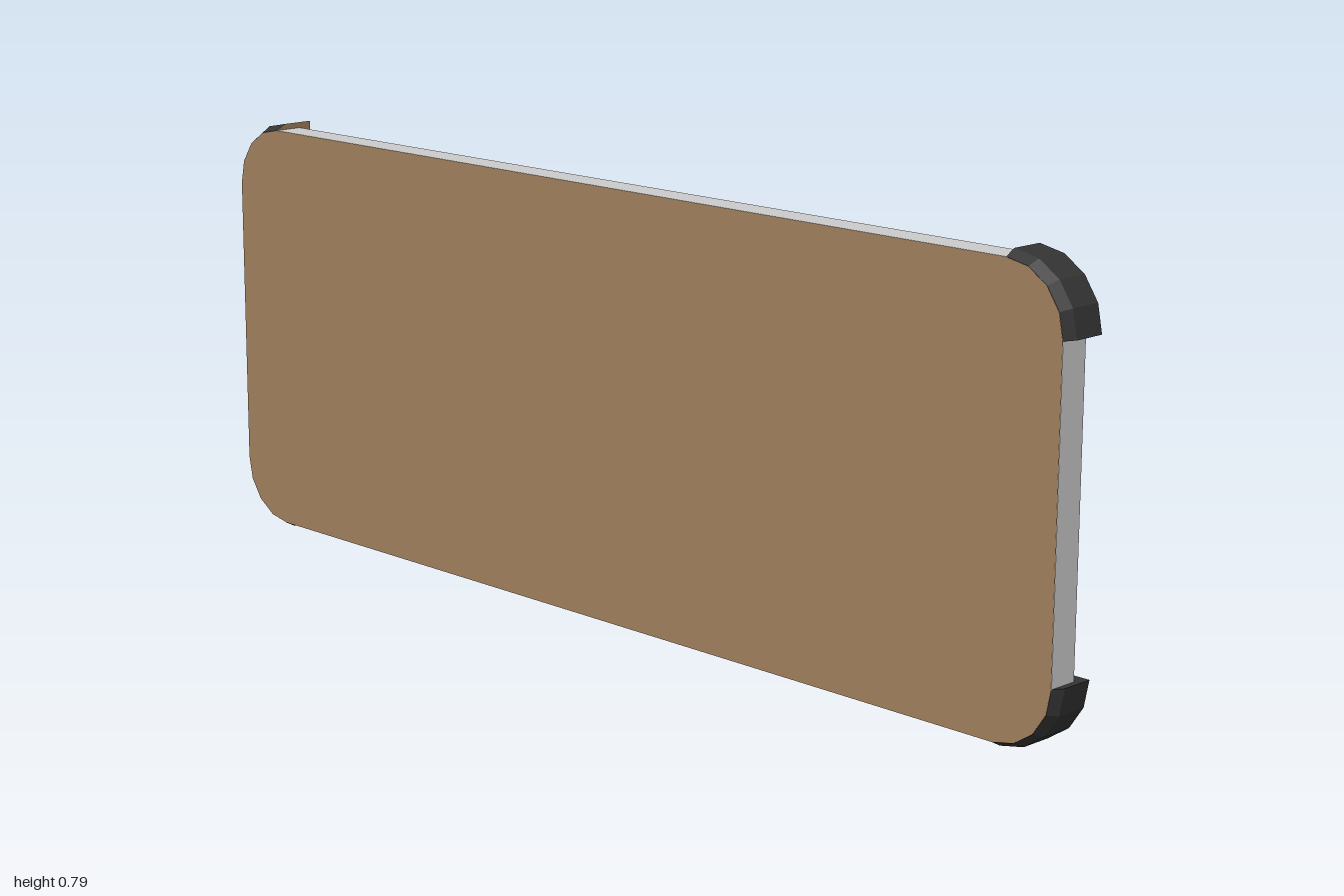
import * as THREE from 'three';

const HZ = 0.8775, HY = 0.27, MID = 0.3925; // corner-arc centres and mid height
const mat = (color) => new THREE.MeshStandardMaterial({ color, flatShading: true });

// Skin a list of equal-length rings; the start cap is group 0, the rest group 1.
function loft(rings) {
  const pos = [];
  const tri = (...pts) => pts.forEach((p) => pos.push(...p));
  const n = rings[0].length, first = rings[0], last = rings[rings.length - 1];
  for (let i = 1; i < n - 1; i++) tri(first[0], first[i + 1], first[i]);
  const capCount = pos.length / 3;
  for (let i = 1; i < n - 1; i++) tri(last[0], last[i], last[i + 1]);
  for (let s = 0; s < rings.length - 1; s++) {
    for (let i = 0; i < n; i++) {
      const j = (i + 1) % n;
      const a = rings[s][i], b = rings[s][j], c = rings[s + 1][j], d = rings[s + 1][i];
      tri(a, b, c);
      tri(a, c, d);
    }
  }
  const g = new THREE.BufferGeometry();
  g.setAttribute('position', new THREE.Float32BufferAttribute(pos, 3));
  g.addGroup(0, capCount, 0);
  g.addGroup(capCount, pos.length / 3 - capCount, 1);
  g.computeVertexNormals();
  return g;
}

// Straight bar on side k (0 = +z, 1 = top, 2 = -z, 3 = bottom); profile is [outward offset, x].
function bar(k, profile) {
  const c = Math.round(Math.cos(k * Math.PI / 2)), s = Math.round(Math.sin(k * Math.PI / 2));
  const out = k % 2 ? HY : HZ, half = (k % 2 ? HZ : HY) + 0.003;
  return loft([-half, half].map((t) => profile.map(([o, x]) =>
    [x, MID + s * (out + o) + c * t, c * (out + o) - s * t])));
}

export function createModel() {
  const group = new THREE.Group();
  const grey = mat(0xcccccc), brown = mat(0xa07e5c), black = mat(0x343434);
  const add = (name, geometry, material) => {
    const mesh = new THREE.Mesh(geometry, material);
    mesh.name = name;
    group.add(mesh);
  };

  // Rounded board filling the frame and covering its back
  const r = 0.1115, outline = [];
  for (let k = 0; k < 4; k++) {
    const sz = k === 0 || k === 3 ? 1 : -1, sy = k < 2 ? 1 : -1;
    for (let i = 0; i <= 4; i++) {
      const a = (k + i / 4) * Math.PI / 2;
      outline.push([sz * HZ + r * Math.cos(a), MID + sy * HY + r * Math.sin(a)]);
    }
  }
  const shape = new THREE.Shape(outline.map(([z, y]) => new THREE.Vector2(-z, y)));
  const board = new THREE.ExtrudeGeometry(shape, { depth: 0.035, bevelEnabled: false });
  board.rotateY(Math.PI / 2).translate(-0.04, 0, 0);
  add('board', board, brown);

  // Frame rails with sloped inner faces
  const names = ['frontRail', 'topRail', 'backRail', 'bottomRail'];
  for (let k = 0; k < 4; k++) {
    const inner = k % 2 ? 0.0675 : 0.0575, foot = k % 2 ? 0.0625 : 0.0375;
    add(names[k], bar(k, [[0.112, -0.0395], [0.112, 0.015], [inner, 0.015],
      [foot, -0.005], [foot, -0.0395]]), [grey, grey]);
  }
  // Board-coloured lining under the top rail
  add('topRailLining', bar(1, [[0.068, -0.006], [0.068, 0.0149], [0.067, 0.0149], [0.0615, -0.006]]),
    [brown, brown]);

  // Raised corner guards, four facets each, with one board-coloured end
  const guard = [[0.112, -0.0395], [0.1225, -0.02], [0.1225, 0.04], [0.07, 0.04],
    [0.045, -0.006], [0.045, -0.0395]];
  for (let k = 0; k < 4; k++) {
    const sz = k === 0 || k === 3 ? 1 : -1, sy = k < 2 ? 1 : -1;
    const rings = [];
    for (let i = 0; i <= 4; i++) {
      const a = (k + i / 4) * Math.PI / 2;
      rings.push(guard.map(([o, x]) =>
        [x, MID + sy * HY + o * Math.sin(a), sz * HZ + o * Math.cos(a)]));
    }
    add('cornerGuard' + (k + 1), loft(rings), [brown, black]);
  }
  return group;
}
